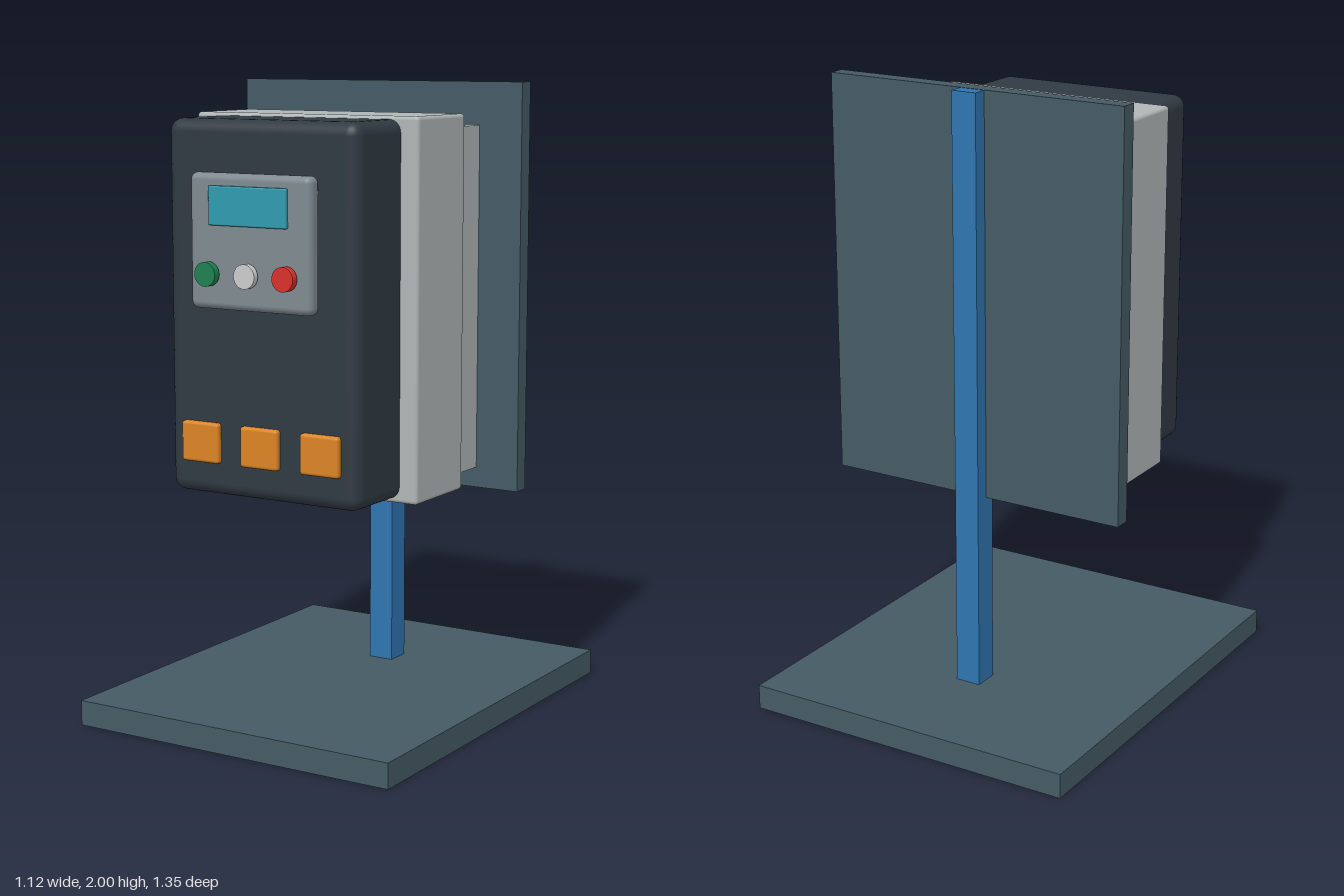
import * as THREE from 'three';
import { RoundedBoxGeometry } from 'three/addons/geometries/RoundedBoxGeometry.js';

const paint = (color) => new THREE.MeshStandardMaterial({ color });
const slate = paint(0x455a64), blue = paint(0x2f75b0), charcoal = paint(0x303a42);
const metal = paint(0xb0b5b5), panelGrey = paint(0x7f8a90), cyan = paint(0x2f9bb0);
const orange = paint(0xdb8425), green = paint(0x1f8050), white = paint(0xbfbfbf), red = paint(0xd9302a);

// Box given by its limits on each axis; a radius rounds its edges
function block(name, material, [x0, x1], [y0, y1], [z0, z1], radius = 0) {
  const size = [x1 - x0, y1 - y0, z1 - z0];
  const geometry = radius
    ? new RoundedBoxGeometry(...size, 4, radius)
    : new THREE.BoxGeometry(...size);
  const mesh = new THREE.Mesh(geometry, material);
  mesh.name = name;
  mesh.position.set((x0 + x1) / 2, (y0 + y1) / 2, (z0 + z1) / 2);
  return mesh;
}

// Round push button facing the front
function button(name, material, x, zFront) {
  const zBack = 0.554;
  const geometry = new THREE.CylinderGeometry(0.037, 0.037, zFront - zBack, 32).rotateX(Math.PI / 2);
  const mesh = new THREE.Mesh(geometry, material);
  mesh.name = name;
  mesh.position.set(x, 1.44, (zFront + zBack) / 2);
  return mesh;
}

export function createModel() {
  const model = new THREE.Group();
  model.name = 'driveOnStand';

  // Stand: base, post and mounting plate
  const stand = new THREE.Group();
  stand.name = 'stand';
  stand.add(
    block('base', slate, [-0.56, 0.56], [0, 0.08], [-0.677, 0.677]),
    block('post', blue, [-0.042, 0.042], [0.08, 1.999], [-0.306, -0.222]),
    block('backPlate', slate, [-0.513, 0.513], [0.71, 2], [-0.258, -0.203])
  );

  // Cooling fins between the plate and the housing
  const heatSink = new THREE.Group();
  heatSink.name = 'heatSink';
  for (let i = -4; i <= 4; i++) {
    const x = i * 0.0875;
    heatSink.add(block('fin', metal, [x - 0.0155, x + 0.0155], [0.775, 1.865], [-0.203, -0.04]));
  }

  // Housing and front cover
  const enclosure = new THREE.Group();
  enclosure.name = 'enclosure';
  enclosure.add(
    block('housing', metal, [-0.4, 0.4], [0.735, 1.906], [-0.047, 0.242], 0.012),
    block('frontCover', charcoal, [-0.34, 0.34], [0.748, 1.896], [0.19, 0.487], 0.04)
  );

  // Control panel with display and three buttons
  const controls = new THREE.Group();
  controls.name = 'controlPanel';
  controls.add(
    block('panel', panelGrey, [-0.216, 0.216], [1.332, 1.74], [0.49, 0.546], 0.022),
    block('display', cyan, [-0.138, 0.138], [1.585, 1.703], [0.54, 0.558], 0.005),
    button('startButton', green, -0.138, 0.578),
    button('modeButton', white, 0, 0.574),
    button('stopButton', red, 0.138, 0.578)
  );

  // Row of terminal covers
  const terminals = new THREE.Group();
  terminals.name = 'terminalCovers';
  for (const x of [-0.215, 0, 0.215]) {
    terminals.add(block('terminalCover', orange, [x - 0.068, x + 0.068], [0.85, 0.975], [0.47, 0.506], 0.01));
  }

  model.add(stand, heatSink, enclosure, controls, terminals);
  return model;
}
